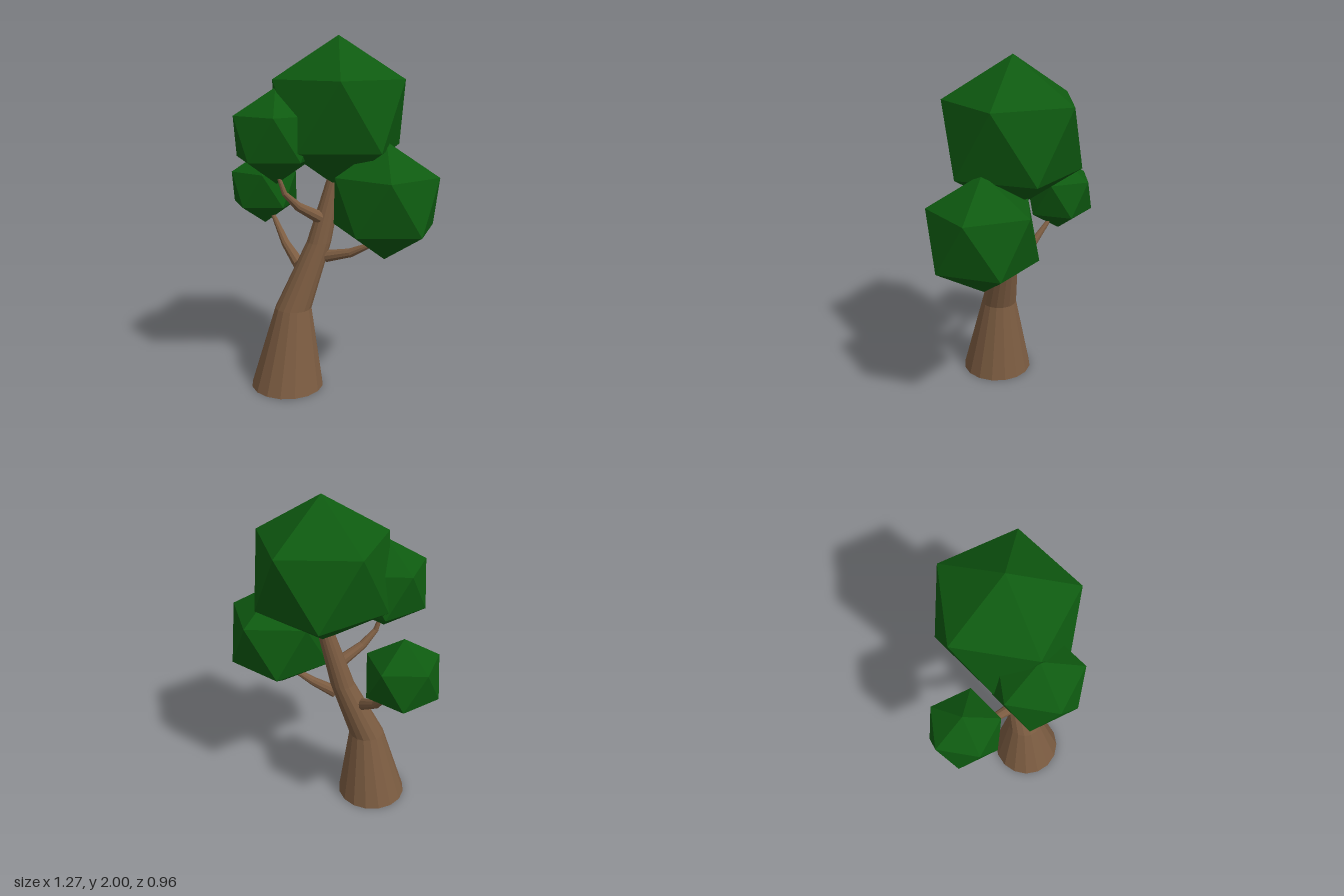
import * as THREE from 'three';

const bark = new THREE.MeshStandardMaterial({ color: 0x7d5d42, flatShading: true });
const leaf = new THREE.MeshStandardMaterial({ color: 0x0e5a10, flatShading: true });
const UP = new THREE.Vector3(0, 1, 0);

// Tapered, bent tube through stations [x, y, z, radius], closed at both ends.
function limb(name, stations, sides, levelRings) {
  const centres = stations.map(([x, y, z]) => new THREE.Vector3(x, y, z));
  const last = centres.length - 1;
  const pos = [], index = [];
  centres.forEach((c, i) => {
    const dir = centres[Math.min(i + 1, last)].clone().sub(centres[Math.max(i - 1, 0)]).normalize();
    const turn = new THREE.Quaternion().setFromUnitVectors(UP, levelRings ? UP : dir);
    for (let j = 0; j < sides; j++) {
      const a = (j / sides) * Math.PI * 2;
      const p = new THREE.Vector3(Math.cos(a), 0, -Math.sin(a))
        .multiplyScalar(stations[i][3]).applyQuaternion(turn).add(c);
      pos.push(p.x, p.y, p.z);
    }
  });
  const foot = pos.length / 3, tip = foot + 1, top = last * sides;
  pos.push(...centres[0].toArray(), ...centres[last].toArray());
  for (let j = 0; j < sides; j++) {
    const k = (j + 1) % sides;
    for (let i = 0; i < last; i++) {
      const a = i * sides + j, b = i * sides + k;
      index.push(a, b, a + sides, b, b + sides, a + sides);
    }
    index.push(foot, k, j, tip, top + j, top + k);
  }
  const g = new THREE.BufferGeometry();
  g.setAttribute('position', new THREE.Float32BufferAttribute(pos, 3));
  g.setIndex(index);
  g.computeVertexNormals();
  const mesh = new THREE.Mesh(g, bark);
  mesh.name = name;
  return mesh;
}

// Icosahedron standing on a corner, upper ring pointing to -x.
function clump(name, x, y, z, radius) {
  const g = new THREE.IcosahedronGeometry(radius, 0);
  g.rotateZ(Math.atan(2 / (1 + Math.sqrt(5))));
  const mesh = new THREE.Mesh(g, leaf);
  mesh.name = name;
  mesh.position.set(x, y, z);
  return mesh;
}

export function createModel() {
  const tree = new THREE.Group();
  tree.name = 'tree';

  // Leaning trunk with a flared foot
  tree.add(limb('trunk', [
    [-0.04, 0, 0.21, 0.21],
    [-0.03, 0.47, 0.17, 0.105],
    [0.022, 0.85, 0.025, 0.07],
    [0.05, 1.28, -0.09, 0.042],
  ], 16, true));

  // Side branches reaching into their clumps
  tree.add(limb('leftBranch', [
    [0.065, 0.77, 0.005, 0.036],
    [0.19, 0.805, -0.07, 0.026],
    [0.28, 0.86, -0.14, 0.016],
    [0.33, 0.98, -0.18, 0.008],
  ], 10));
  tree.add(limb('rightBranch', [
    [-0.06, 0.71, 0.11, 0.036],
    [-0.21, 0.80, 0.10, 0.026],
    [-0.34, 0.935, 0.095, 0.014],
    [-0.41, 1.03, 0.10, 0.008],
  ], 10));
  tree.add(limb('frontBranch', [
    [0.035, 0.995, 0.03, 0.036],
    [0.01, 1.07, 0.16, 0.025],
    [-0.005, 1.15, 0.24, 0.016],
    [-0.02, 1.30, 0.29, 0.008],
  ], 10));

  // Foliage
  tree.add(clump('topFoliage', 0.055, 1.58, -0.083, 0.42));
  tree.add(clump('leftFoliage', 0.335, 1.11, -0.197, 0.33));
  tree.add(clump('rightFoliage', -0.435, 1.11, 0.10, 0.225));
  tree.add(clump('frontFoliage', -0.053, 1.463, 0.26, 0.263));
  return tree;
}
